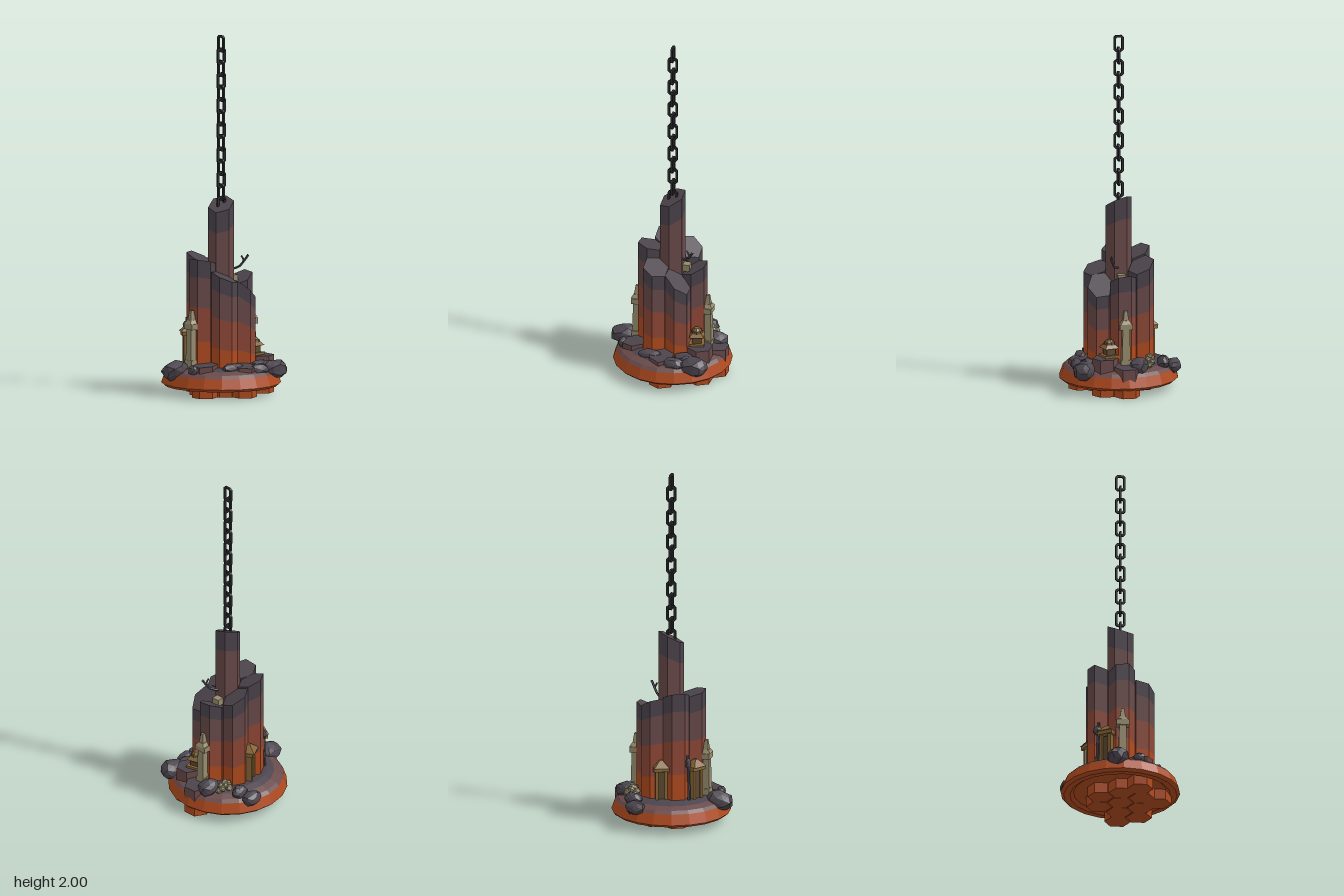
import * as THREE from 'three';

const mat = (name, color) => {
  const m = new THREE.MeshStandardMaterial({ color, flatShading: true });
  m.name = name;
  return m;
};

export function createModel() {
  const root = new THREE.Group();
  root.name = 'hangingBasaltIsland';
  const M = {
    orange: mat('glowing orange', 0xb04a1e),
    red: mat('red brown', 0x8e4836),
    mauve: mat('mauve', 0x6a4a4a),
    basalt: mat('basalt grey', 0x4c444c),
    rock: mat('rock grey', 0x4d464f),
    pale: mat('pale stone', 0x968b6c),
    gold: mat('ochre wood', 0x876637),
    dark: mat('dark wood', 0x5c4830),
    iron: mat('black iron', 0x2c2a2e),
  };
  const CX = 0.018;

  const add = (parent, name, geo, material, x = 0, y = 0, z = 0) => {
    const m = new THREE.Mesh(geo, material);
    m.name = name;
    m.position.set(x, y, z);
    parent.add(m);
    return m;
  };
  const group = (name, x, y, z, turn = 0) => {
    const g = new THREE.Group();
    g.name = name;
    g.position.set(x, y, z);
    g.rotation.y = turn;
    root.add(g);
    return g;
  };
  const box = (w, h, d) => new THREE.BoxGeometry(w, h, d);

  // Island disc: coloured rings of one profile
  const ring = (name, pts, material) =>
    add(root, name, new THREE.LatheGeometry(pts.map(p => new THREE.Vector2(...p)), 20), material, CX);
  ring('discRim', [[0, 0.06], [0.26, 0.06], [0.28, 0.045], [0.315, 0.045], [0.332, 0.06], [0.312, 0.118]], M.orange);
  ring('discMauveRing', [[0.312, 0.118], [0.295, 0.135], [0.258, 0.15]], M.mauve);
  ring('discTop', [[0.258, 0.15], [0.22, 0.163], [0.12, 0.168], [0, 0.168]], M.basalt);

  // Hexagonal columns: stacked bands under a sloping top
  function column(name, x, z, h, sx, sz, bands, r = 0.0725) {
    const g = group(name, x, 0, z);
    let low = 0;
    for (const [f, material] of bands) {
      const geo = new THREE.CylinderGeometry(r, r, 1, 6, 1, f < 1 && low > 0);
      const p = geo.attributes.position;
      for (let i = 0; i < p.count; i++) {
        const t = p.getY(i) > 0 ? f : low;
        p.setY(i, t * (h + sx * p.getX(i) + sz * p.getZ(i)));
      }
      // the last band carries a grey top
      add(g, name + 'Band', geo, f === 1 ? [material, M.basalt, material] : material);
      low = f;
    }
  }
  const tall = [[0.4, M.orange], [0.65, M.red], [0.87, M.mauve], [1, M.basalt]];
  const low = [[0.35, M.orange], [1, M.mauve]];
  const DX = 0.128, DZ = 0.1145;
  const columns = [
    ['centreColumn', 0, 0, 1.055, 0.45, -0.3, [[0.25, M.orange], [0.5, M.red], [0.885, M.mauve], [1, M.basalt]]],
    ['rightColumn', -1, 0, 0.745, -0.25, 0.1, tall],
    ['leftColumn', 1, 0, 0.635, 0.5, -0.1, tall],
    ['backRightColumn', -0.5, -1, 0.75, -0.25, -0.4, tall],
    ['backLeftColumn', 0.5, -1, 0.7, -0.4, -0.4, tall],
    ['frontRightColumn', -0.5, 1, 0.665, -0.3, -0.3, tall],
    ['frontLeftColumn', 0.5, 1, 0.595, -0.8, -0.1, tall],
    ['lowRightColumn', -1.46, 0.85, 0.18, 0.1, 0, low],
    ['lowFrontColumn', 0, 1.84, 0.175, 0, -0.15, low],
    ['lowLeftColumn', 1.5, 1, 0.21, 0, 0, low],
    ['lowOuterColumn', 1.97, 0, 0.17, -0.1, 0, low],
  ];
  for (const [n, i, k, ...rest] of columns) column(n, CX + i * DX, k * DZ, ...rest);

  // Chain: links alternate between facing front and side
  const linkOutline = (w, h, c, P) => new P([[w - c, -h], [w, -h + c], [w, h - c], [w - c, h],
    [c - w, h], [-w, h - c], [-w, c - h], [c - w, -h]].map(p => new THREE.Vector2(...p)));
  const linkShape = linkOutline(0.028, 0.047, 0.011, THREE.Shape);
  linkShape.holes.push(linkOutline(0.016, 0.035, 0.006, THREE.Path));
  const linkGeo = new THREE.ExtrudeGeometry(linkShape, { depth: 0.012, bevelEnabled: false });
  linkGeo.translate(0, 0, -0.006);
  for (let i = 0; i < 14; i++) {
    const link = add(root, 'chainLink', linkGeo, M.iron, CX, 1.953 - i * 0.0692, 0);
    link.rotation.y = i % 2 ? 0 : Math.PI / 2;
  }

  // Boulders: icosahedra pushed in and out by a position hash
  function boulder(name, x, y, z, rx, ry, rz, material = M.rock, detail = 1) {
    const geo = new THREE.IcosahedronGeometry(1, detail);
    const p = geo.attributes.position, v = new THREE.Vector3();
    for (let i = 0; i < p.count; i++) {
      v.fromBufferAttribute(p, i);
      const s = Math.sin(Math.round(v.x * 50) * 12.9 + Math.round(v.y * 50) * 78.2
        + Math.round(v.z * 50) * 37.7 + x * 91 + z * 57) * 437.5;
      v.multiplyScalar(0.84 + 0.22 * (s - Math.floor(s)));
      p.setXYZ(i, v.x * rx, v.y * ry, v.z * rz);
    }
    geo.computeVertexNormals();
    add(root, name, geo, material, x, y, z);
  }
  [
    [-0.272, 0.142, -0.035, 0.084, 0.06, 0.065],
    [0.137, 0.137, -0.288, 0.06, 0.045, 0.045],
    [0.168, 0.165, -0.223, 0.052, 0.042, 0.038],
    [0.253, 0.165, -0.07, 0.068, 0.052, 0.054],
    [0.213, 0.142, 0.232, 0.084, 0.058, 0.063],
    [0.095, 0.15, 0.25, 0.062, 0.038, 0.035],
    [0.14, 0.165, 0.195, 0.065, 0.035, 0.042],
    [-0.245, 0.155, 0.09, 0.025, 0.03, 0.036],
    [-0.05, 0.165, 0.2, 0.075, 0.028, 0.035],
  ].forEach(b => boulder('boulder', ...b));

  // Pale rubble heap
  for (let i = 0; i < 9; i++) {
    const a = i * 2.4, r = 0.014 * Math.sqrt(i);
    boulder('rubble', 0.2 + r * Math.cos(a), 0.205 - i * 0.005, -0.14 + 0.6 * r * Math.sin(a),
      0.022, 0.022, 0.018, M.pale, 0);
  }

  // Pale pillars on both sides
  const square = (rt, rb, h) => new THREE.CylinderGeometry(rt, rb, h, 4).rotateY(Math.PI / 4);
  for (const s of [-1, 1]) {
    const g = group('stonePillar', CX + s * 0.205, 0.16, 0);
    add(g, 'pillarFoot', box(0.05, 0.04, 0.06), M.pale, 0, 0.02, 0);
    add(g, 'pillarShaft', square(0.027, 0.034, 0.19), M.pale, 0, 0.125, 0);
    add(g, 'pillarCapital', box(0.052, 0.032, 0.072), M.pale, 0, 0.228, 0);
    add(g, 'pillarCapitalTop', square(0.025, 0.042, 0.02), M.pale, 0, 0.254, 0);
    add(g, 'pillarFinial', square(0.012, 0.022, 0.055), M.pale, 0, 0.29, 0);
  }
  add(root, 'stoneBracket', box(0.04, 0.04, 0.045), M.pale, 0.1, 0.635, 0);

  // Shrines against the rear columns
  for (const [x, z, turn] of [[0.025, -0.165, 0.45], [-0.15, -0.085, 1.05]]) {
    const g = group('shrine', x, 0.16, z, turn);
    for (const s of [-1, 1]) add(g, 'shrinePost', box(0.016, 0.17, 0.05), M.gold, s * 0.025, 0.085, 0);
    add(g, 'shrineDoor', box(0.034, 0.16, 0.03), M.dark, 0, 0.08, 0);
    add(g, 'shrineLintel', box(0.09, 0.022, 0.07), M.gold, 0, 0.178, 0);
    add(g, 'shrineRoof', square(0.012, 0.06, 0.038), M.gold, 0, 0.207, 0);
  }

  // Lantern on the low left column
  const lantern = group('lantern', 0.183, 0.205, 0.085, 0.25);
  add(lantern, 'lanternBase', box(0.085, 0.018, 0.085), M.gold, 0, 0.009, 0);
  add(lantern, 'lanternBody', box(0.052, 0.04, 0.052), M.dark, 0, 0.038, 0);
  add(lantern, 'lanternRoof', square(0.036, 0.058, 0.02), M.gold, 0, 0.066, 0);
  add(lantern, 'lanternCrown', new THREE.CylinderGeometry(0.03, 0.034, 0.014, 8), M.dark, 0, 0.082, 0);
  add(lantern, 'lanternCap', new THREE.CylinderGeometry(0.014, 0.026, 0.014, 8), M.gold, 0, 0.096, 0);

  // Dead branches: a forked one above, a stake behind
  const twig = (name, pts, r) => add(root, name, new THREE.TubeGeometry(
    new THREE.CatmullRomCurve3(pts.map(p => new THREE.Vector3(...p))), 5, r, 5), M.rock);
  twig('branch', [[0.075, 0.69, 0.015], [0.11, 0.7, 0.04], [0.135, 0.735, 0.058], [0.155, 0.768, 0.07]], 0.007);
  twig('branchFork', [[0.132, 0.73, 0.056], [0.126, 0.748, 0.058], [0.115, 0.765, 0.055]], 0.005);
  twig('stake', [[-0.13, 0.16, -0.14], [-0.125, 0.3, -0.135], [-0.12, 0.42, -0.13]], 0.009);
  boulder('stakeKnot', -0.123, 0.37, -0.135, 0.015, 0.03, 0.026);

  return root;
}
